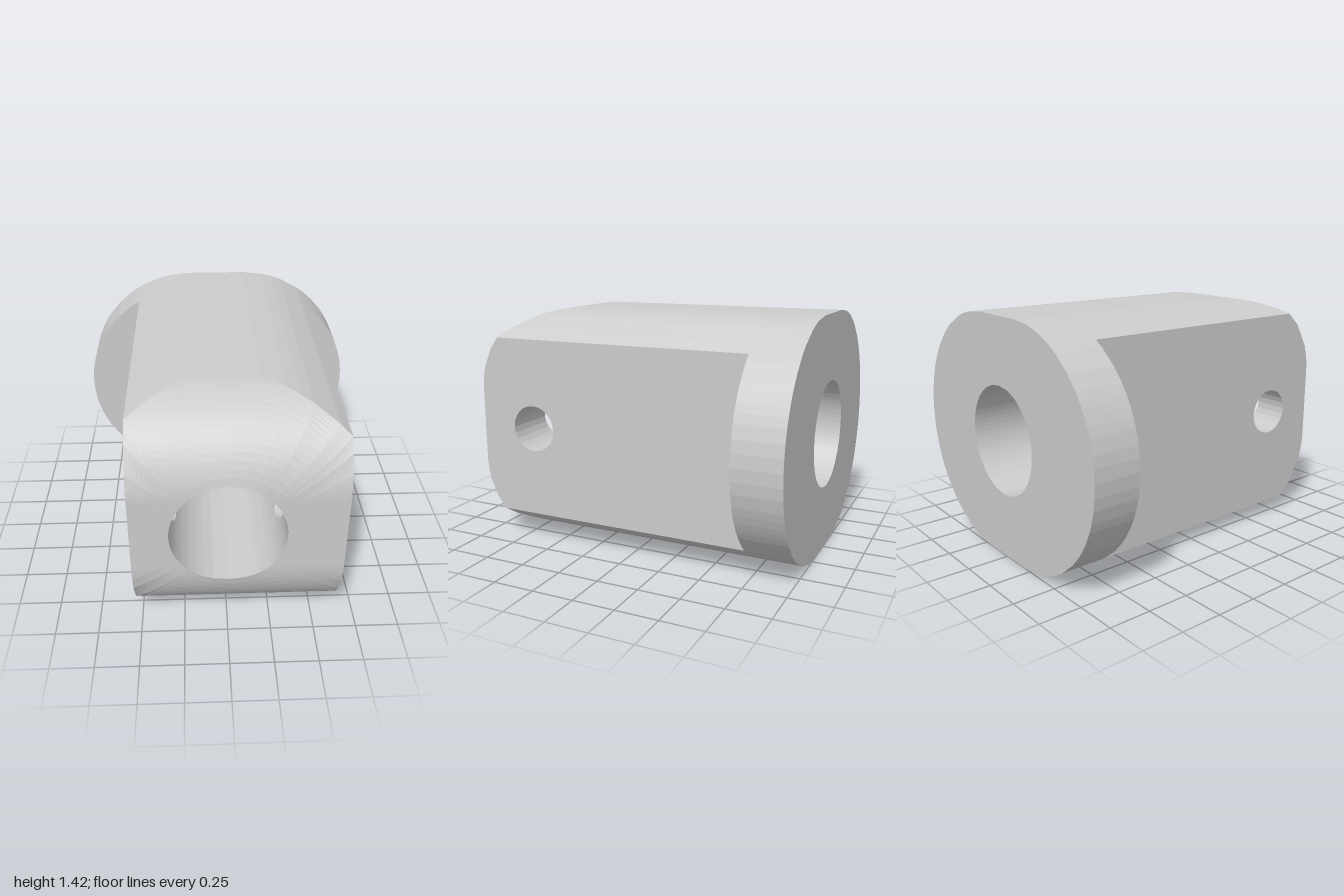
import * as THREE from 'three';

const CY = 0.71;                 // height of the main axis
const R = 0.71, OFF = 0.18;      // rounded outline: end radius and centre offset
const XR = 0.64, XL = -0.53;     // flat side planes
const BORE = 0.32, PIN = 0.14, PIN_Z = 0.64;
const BACK = -1, STEP = -0.72, FRONT = 1, FILLET = 0.49;

const material = new THREE.MeshStandardMaterial({ color: 0xcccccc, flatShading: true });

// Distance from the axis to the full outline along angle a
function outlineRadius(a) {
  const c = Math.abs(Math.cos(a)), s = Math.abs(Math.sin(a));
  if (c * R <= OFF * s) return R / s;
  return OFF * c + Math.sqrt(R * R - OFF * OFF * s * s);
}

// The same, cut by the two flat sides
function bodyRadius(a) {
  const c = Math.cos(a);
  let t = outlineRadius(a);
  if (c > 1e-6) t = Math.min(t, XR / c);
  if (c < -1e-6) t = Math.min(t, XL / c);
  return t;
}

// Depth of the rounded nose at height y from the axis
function noseZ(y) {
  const d = Math.abs(y) - (R - FILLET);
  return d <= 0 ? FRONT : FRONT - FILLET + Math.sqrt(Math.max(0, FILLET * FILLET - d * d));
}

// Angles shared by all loops, with outline corners and cross hole edges included
function makeAngles() {
  const set = new Set();
  const add = a => {
    const t = 2 * Math.PI;
    set.add(Math.round((((a % t) + t) % t) * 1e6) / 1e6);
  };
  const mirrored = a => [a, -a, Math.PI - a, Math.PI + a].forEach(add);
  for (let k = 0; k <= 8; k++) {
    const q = k * Math.PI / 16;
    mirrored(Math.atan2(R * Math.sin(q), OFF + R * Math.cos(q)));
    mirrored(Math.asin(PIN / BORE * Math.sin(q)));
  }
  for (let k = 0; k <= 6; k++) mirrored(k * Math.PI / 12);
  for (const x of [XR, XL]) {
    const y = Math.sqrt(R * R - (Math.abs(x) - OFF) ** 2);
    add(Math.atan2(y, x));
    add(Math.atan2(-y, x));
  }
  return [...set].sort((a, b) => a - b);
}

// Collects quads into a mesh
function quadMesh(name, fill) {
  const pos = [];
  fill((a, b, c, d) => pos.push(...a, ...b, ...c, ...a, ...c, ...d));
  const g = new THREE.BufferGeometry();
  g.setAttribute('position', new THREE.Float32BufferAttribute(pos, 3));
  g.computeVertexNormals();
  const mesh = new THREE.Mesh(g, material);
  mesh.name = name;
  return mesh;
}

export function createModel() {
  const model = new THREE.Group();
  model.name = 'flangedBlock';
  const angles = makeAngles();
  const polar = (a, r) => [r * Math.cos(a), r * Math.sin(a)];
  const pairs = angles.map((a, i) => [a, angles[(i + 1) % angles.length]]);

  // Rear flange with the bore through it
  const ring = fn => angles.map(a => new THREE.Vector2(...polar(a, fn(a))));
  const flangeShape = new THREE.Shape(ring(outlineRadius));
  flangeShape.holes.push(new THREE.Path(ring(() => BORE)));
  const flangeGeo = new THREE.ExtrudeGeometry(flangeShape, { depth: STEP - BACK, bevelEnabled: false });
  flangeGeo.translate(0, 0, BACK);
  const flange = new THREE.Mesh(flangeGeo, material);
  flange.name = 'rearFlange';
  model.add(flange);

  // Curved top and bottom of the body
  const onSide = (p, q) => [XR, XL].some(x => Math.abs(p[0] - x) < 1e-5 && Math.abs(q[0] - x) < 1e-5);
  model.add(quadMesh('bodyShell', quad => {
    for (const [a, b] of pairs) {
      const p = polar(a, bodyRadius(a)), q = polar(b, bodyRadius(b));
      if (!onSide(p, q)) quad([...p, STEP], [...q, STEP], [...q, noseZ(q[1])], [...p, noseZ(p[1])]);
    }
  }));

  // Rounded nose, from the bore edge out to the body edge
  const RINGS = 16;
  model.add(quadMesh('roundedNose', quad => {
    const point = (a, k) => {
      const t = 1 - (1 - k / RINGS) ** 2;
      const p = polar(a, BORE + (bodyRadius(a) - BORE) * t);
      return [...p, noseZ(p[1])];
    };
    for (const [a, b] of pairs)
      for (let k = 0; k < RINGS; k++)
        quad(point(a, k), point(a, k + 1), point(b, k + 1), point(b, k));
  }));

  // Bore wall, opened where the cross hole enters
  model.add(quadMesh('boreWall', quad => {
    const gap = y => Math.sqrt(Math.max(0, PIN * PIN - y * y));
    for (const [a, b] of pairs) {
      const p = polar(a, BORE), q = polar(b, BORE);
      const strip = (p0, p1, q0, q1) => quad([...p, p0], [...p, p1], [...q, q1], [...q, q0]);
      if (Math.max(Math.abs(p[1]), Math.abs(q[1])) < PIN + 1e-5) {
        const gp = gap(p[1]), gq = gap(q[1]);
        strip(STEP, PIN_Z - gp, STEP, PIN_Z - gq);
        strip(PIN_Z + gp, noseZ(p[1]), PIN_Z + gq, noseZ(q[1]));
      } else strip(STEP, noseZ(p[1]), STEP, noseZ(q[1]));
    }
  }));

  // Flat sides and cross hole walls
  for (const [s, x, label] of [[1, XR, 'left'], [-1, XL, 'right']]) {
    const h = Math.sqrt(R * R - (Math.abs(x) - OFF) ** 2);
    const ys = angles.map(a => polar(a, bodyRadius(a)))
      .filter(p => Math.abs(p[0] - x) < 1e-5).map(p => p[1]).sort((a, b) => a - b);
    const outline = [[STEP, h], [STEP, -h], ...ys.map(y => [noseZ(y), y])];
    const shape = new THREE.Shape(outline.map(([z, y]) => new THREE.Vector2(-s * z, y)));
    const hole = new THREE.Path();
    hole.absarc(-s * PIN_Z, 0, PIN, 0, Math.PI * 2, true);
    shape.holes.push(hole);
    const geo = new THREE.ShapeGeometry(shape, 12);
    geo.rotateY(s * Math.PI / 2);
    geo.translate(x, 0, 0);
    const side = new THREE.Mesh(geo, material);
    side.name = label + 'FlatSide';
    model.add(side);

    model.add(quadMesh(label + 'CrossHole', quad => {
      const N = 24;
      const point = (i, outer) => {
        const t = i / N * Math.PI * 2, y = PIN * Math.sin(t);
        return [outer ? x : s * Math.sqrt(BORE * BORE - y * y), y, PIN_Z + PIN * Math.cos(t)];
      };
      for (let i = 0; i < N; i++) {
        const c = [point(i, false), point(i + 1, false), point(i + 1, true), point(i, true)];
        quad(...(s > 0 ? c : c.reverse()));
      }
    }));
  }

  model.children.forEach(m => m.geometry.translate(0, CY, 0));
  return model;
}
